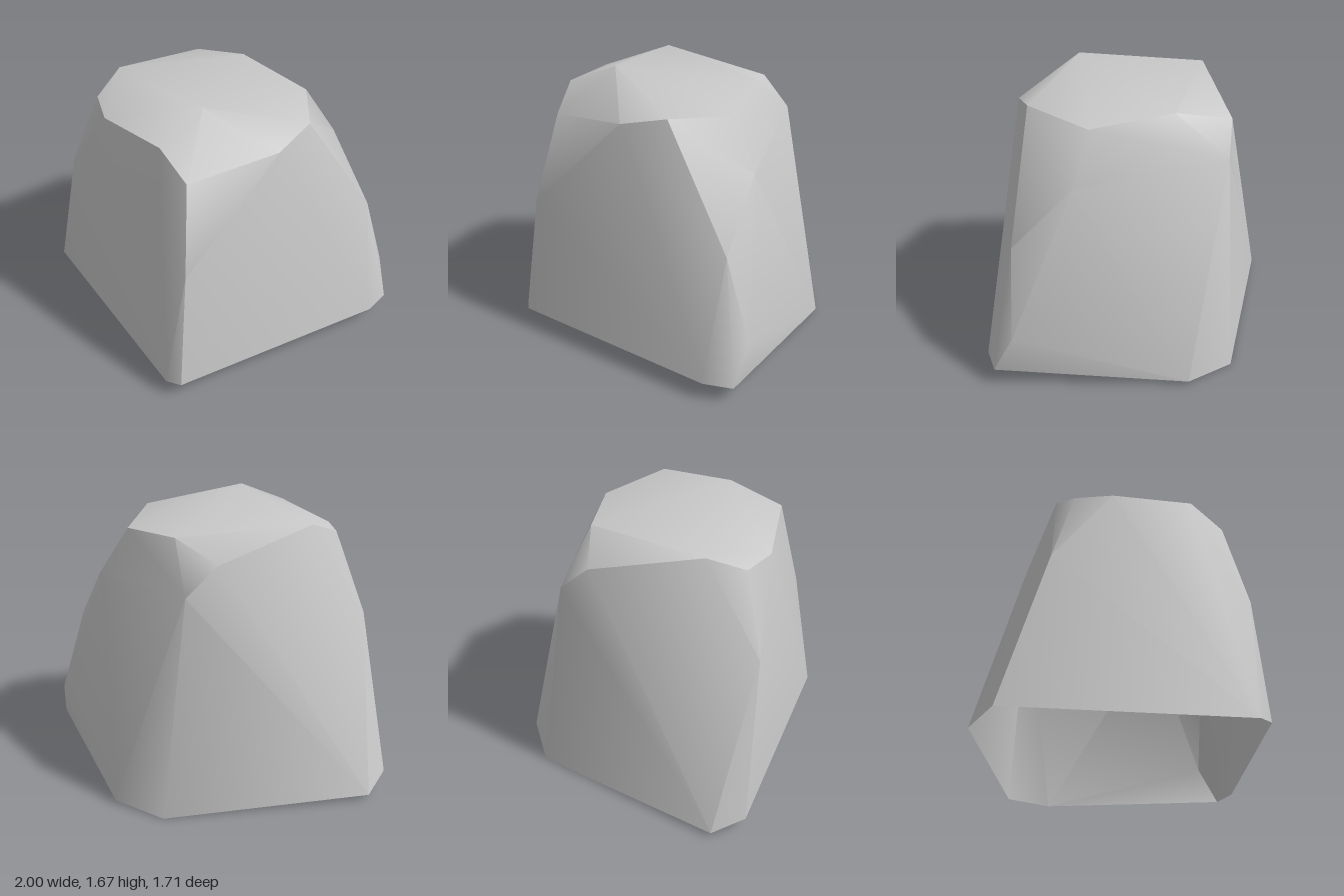
import * as THREE from 'three';
import { toCreasedNormals } from 'three/addons/utils/BufferGeometryUtils.js';
import { ConvexGeometry } from 'three/addons/geometries/ConvexGeometry.js';

// Corner points of the boulder, ring by ring
const base = [
  [-1, 0.095, -0.53], [-0.88, 0.03, -0.7], [0.33, 0, -0.86], [0.61, 0.02, -0.68],
  [1, 0.1, 0.39], [0.86, 0.105, 0.5], [-0.45, 0.105, 0.85], [-0.53, 0.105, 0.8],
];
const flanks = [
  [0.99, 0.33, 0.27], [0.84, 0.84, 0.32], [0.7, 1.2, 0],
  [-0.39, 0.87, 0.77], [-0.87, 1.03, -0.29], [0.19, 1.29, -0.75],
];
const crown = [
  [0.01, 1.46, -0.71], [0.24, 1.54, -0.44], [0.52, 1.49, -0.03], [0.41, 1.535, 0.39],
  [0.19, 1.48, 0.55], [-0.34, 1.405, 0.62], [-0.45, 1.545, 0.45], [-0.69, 1.5, 0.02],
  [-0.7, 1.505, -0.21], [-0.54, 1.59, -0.37], [-0.18, 1.675, 0.31],
];

// Keep every triangle except those closing the underside
function openUnderside(geometry) {
  const p = geometry.getAttribute('position');
  const tri = new THREE.Triangle();
  const n = new THREE.Vector3();
  const kept = [];
  for (let i = 0; i < p.count; i += 3) {
    tri.setFromAttributeAndIndices(p, i, i + 1, i + 2);
    tri.getNormal(n);
    if (n.y > -0.6) kept.push(...tri.a.toArray(), ...tri.b.toArray(), ...tri.c.toArray());
  }
  const open = new THREE.BufferGeometry();
  open.setAttribute('position', new THREE.Float32BufferAttribute(kept, 3));
  return open;
}

export function createModel() {
  const stone = new THREE.MeshStandardMaterial({ color: 0xc8c8c8, side: THREE.DoubleSide });
  stone.name = 'grey stone';

  // Faceted shell, soft across shallow bends and sharp at the main edges
  const points = [...base, ...flanks, ...crown].map((c) => new THREE.Vector3(...c));
  const shell = toCreasedNormals(openUnderside(new ConvexGeometry(points)), 0.7);
  const boulder = new THREE.Mesh(shell, stone);
  boulder.name = 'boulder';

  const group = new THREE.Group();
  group.name = 'rock';
  group.add(boulder);
  return group;
}
